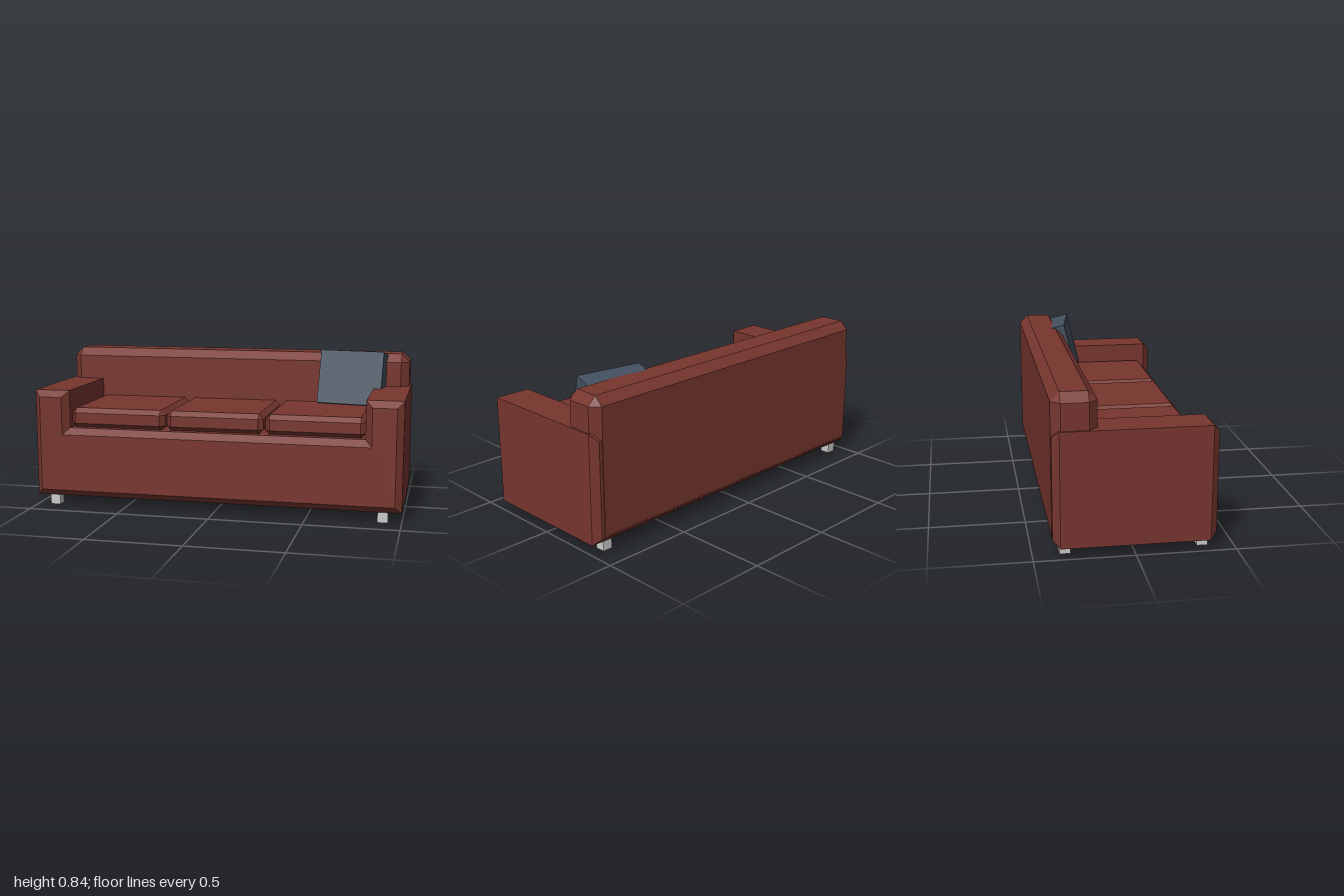
import * as THREE from 'three';
import { ConvexGeometry } from 'three/addons/geometries/ConvexGeometry.js';

const fabric = new THREE.MeshStandardMaterial({ color: 0x78362f, flatShading: true });
const pillowCloth = new THREE.MeshStandardMaterial({ color: 0x445060, flatShading: true });
const grey = new THREE.MeshStandardMaterial({ color: 0xcccccc, flatShading: true });

// Box with every edge cut at 45 degrees by c
function chamferBox(w, h, d, c) {
  const points = [];
  for (const sx of [-1, 1]) for (const sy of [-1, 1]) for (const sz of [-1, 1]) {
    for (const [a, b, e] of [[0, c, c], [c, 0, c], [c, c, 0]]) {
      points.push(new THREE.Vector3(sx * (w / 2 - a), sy * (h / 2 - b), sz * (d / 2 - e)));
    }
  }
  return new ConvexGeometry(points);
}

export function createModel() {
  const sofa = new THREE.Group();
  sofa.name = 'sofa';

  function add(name, geometry, material, x, y, z) {
    const mesh = new THREE.Mesh(geometry, material);
    mesh.name = name;
    mesh.position.set(x, y, z);
    sofa.add(mesh);
    return mesh;
  }

  // Base and arms: one U-shaped profile, bevelled all round
  const bevel = 0.035;
  const profile = new THREE.Shape([
    [-0.965, 0.09], [0.965, 0.09], [0.965, 0.605], [0.84, 0.605],
    [0.84, 0.4], [-0.84, 0.4], [-0.84, 0.605], [-0.965, 0.605],
  ].map(([x, y]) => new THREE.Vector2(x, y)));
  const frame = new THREE.ExtrudeGeometry(profile, {
    depth: 0.738, bevelEnabled: true, bevelSegments: 1, bevelSize: bevel, bevelThickness: bevel,
  });
  add('baseAndArms', frame, fabric, 0, 0, -0.368);

  // Backrest
  add('backrest', chamferBox(1.98, 0.765, 0.225, 0.045), fabric, 0, 0.4375, -0.2925);

  // Seat cushions
  for (const x of [-0.542, -0.002, 0.538]) {
    add('seatCushion', chamferBox(0.53, 0.11, 0.56, 0.026), fabric, x, 0.486, 0.07);
  }

  // Loose pillow leaning on the backrest; its origin is the middle of its front face
  const thickness = 0.11;
  const pillowGeometry = new THREE.BoxGeometry(0.36, 0.3, thickness).translate(0, 0, -thickness / 2);
  const pillow = add('pillow', pillowGeometry, pillowCloth, 0.67, 0.694, -0.108);
  pillow.rotation.set(-0.25, -0.165, 0, 'YXZ');

  // Legs
  for (const x of [-0.902, 0.902]) for (const z of [-0.34, 0.343]) {
    add('leg', new THREE.BoxGeometry(0.055, 0.06, 0.055), grey, x, 0.03, z);
  }

  return sofa;
}
